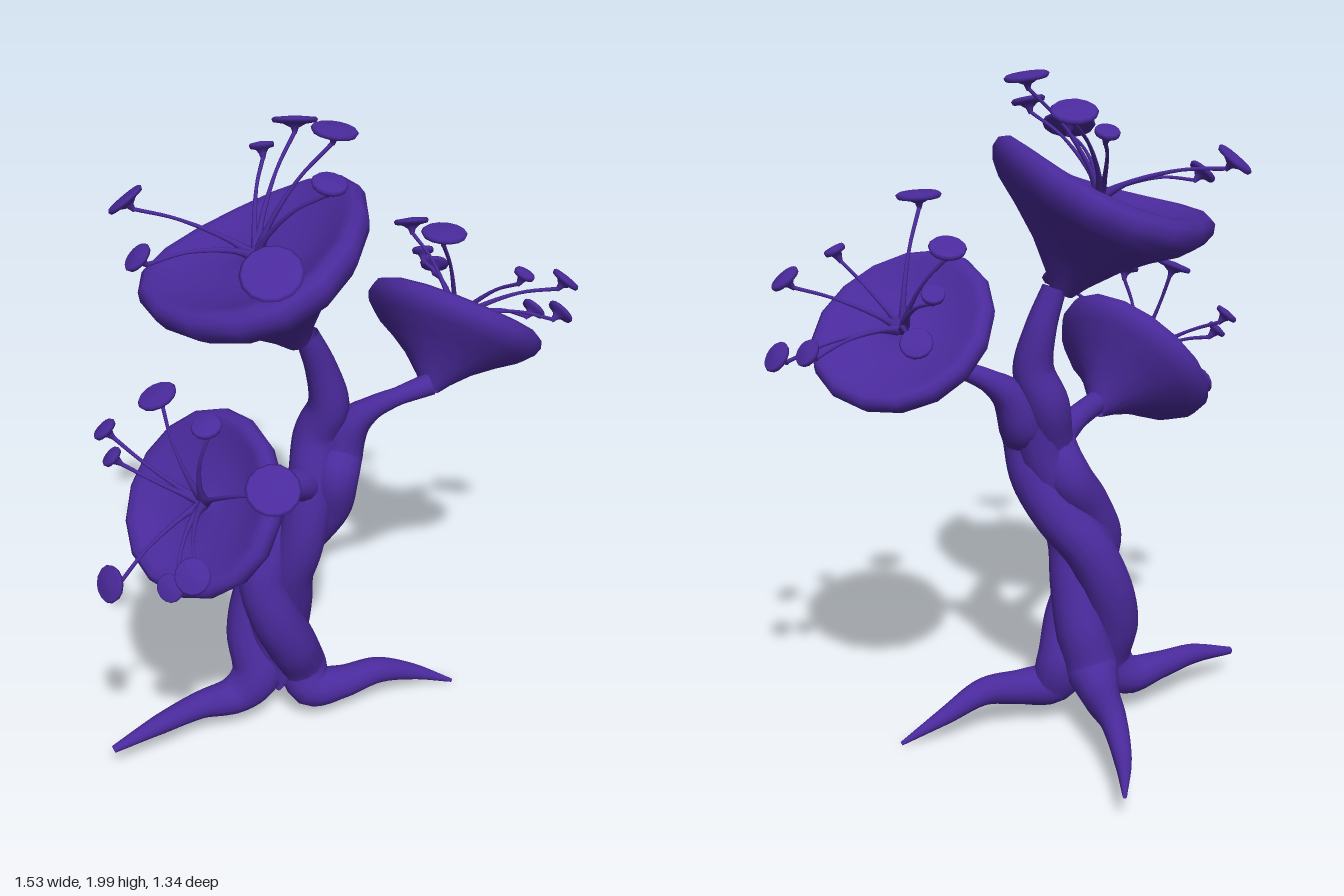
import * as THREE from 'three';

const V = (a) => new THREE.Vector3(a[0], a[1], a[2]);
const UP = new THREE.Vector3(0, 1, 0);
const material = new THREE.MeshStandardMaterial({ color: 0x4a2a9c, side: THREE.DoubleSide });

function addMesh(parent, name, geometry) {
  const mesh = new THREE.Mesh(geometry, material);
  mesh.name = name;
  parent.add(mesh);
  return mesh;
}

// Tube whose radius follows the list of radii, one per path point
function taperedTube(points, radii, steps, sides) {
  const curve = new THREE.CatmullRomCurve3(points);
  const geo = new THREE.TubeGeometry(curve, steps, 1, sides);
  const pos = geo.attributes.position, nor = geo.attributes.normal;
  const n = new THREE.Vector3();
  for (let i = 0; i <= steps; i++) {
    const t = curve.getUtoTmapping(i / steps);
    const f = t * (radii.length - 1), k = Math.min(Math.floor(f), radii.length - 2);
    const r = THREE.MathUtils.lerp(radii[k], radii[k + 1], f - k);
    const centre = curve.getPoint(t);
    for (let j = 0; j <= sides; j++) {
      const id = i * (sides + 1) + j;
      n.fromBufferAttribute(nor, id).multiplyScalar(r).add(centre);
      pos.setXYZ(id, n.x, n.y, n.z);
    }
  }
  return geo;
}

// Trunk centre line: x, y, z
const spine = new THREE.CatmullRomCurve3([
  [-0.2, 0.2, -0.045], [-0.225, 0.38, -0.035], [-0.225, 0.56, -0.04],
  [-0.14, 0.72, -0.035], [-0.06, 0.88, -0.03], [-0.03, 1.04, -0.035],
].map(V));

// Points of one strand winding round the centre line
function twist(startDeg, count) {
  const pts = [];
  for (let i = 0; i < count; i++) {
    const t = i / 7;
    const p = spine.getPoint(t);
    const a = THREE.MathUtils.degToRad(startDeg + 290 * t);
    const off = 0.073 - 0.03 * t;
    pts.push(new THREE.Vector3(p.x + off * Math.cos(a), p.y, p.z + off * Math.sin(a)));
  }
  return pts;
}

// Each strand: root from tip to trunk, start angle, then the branch to a flower
const strands = [
  { name: 'rightRootStrand', angle: 170, count: 7,
    root: [[-0.75, 0.09, 0.11], [-0.6, 0.12, 0.06], [-0.46, 0.125, 0], [-0.34, 0.125, -0.03]],
    rootR: [0.012, 0.032, 0.044, 0.063],
    branch: [[0, 0.98, -0.03], [0.035, 1.065, -0.035], [0.095, 1.115, -0.03], [0.17, 1.15, -0.02], [0.27, 1.18, -0.02]],
    branchR: [0.07, 0.056, 0.035, 0.027, 0.034] },
  { name: 'leftRootStrand', angle: 0, count: 6,
    root: [[0.39, 0.01, -0.08], [0.25, 0.08, -0.07], [0.12, 0.13, -0.04], [0, 0.12, -0.02], [-0.1, 0.125, -0.02]],
    rootR: [0.006, 0.027, 0.043, 0.054, 0.07],
    branch: [[-0.12, 0.905, 0.01], [-0.2, 0.94, 0.085], [-0.31, 0.955, 0.2]],
    branchR: [0.062, 0.037, 0.036] },
  { name: 'backRootStrand', angle: 270, count: 8,
    root: [[-0.12, 0.08, -0.67], [-0.165, 0.105, -0.52], [-0.19, 0.145, -0.36], [-0.2, 0.155, -0.2]],
    rootR: [0.006, 0.026, 0.04, 0.06],
    branch: [[-0.035, 1.14, -0.035], [-0.055, 1.26, -0.035], [-0.1, 1.38, -0.025]],
    branchR: [0.062, 0.048, 0.036] },
];

// Flowers: rim centre, facing, rim radius, saddle of the rim, stalk tips [x, y, z, cap radius]
const flowers = [
  { name: 'topFlower', centre: [-0.245, 1.655, -0.018], facing: [-0.38, 0.92, 0], R: 0.335, depth: 0.32, saddle: 0.03,
    tips: [[-0.57, 1.76, -0.21, 0.06], [-0.57, 1.69, 0.03, 0.045], [-0.28, 1.79, 0.43, 0.083],
      [-0.07, 1.9, 0.15, 0.05], [-0.02, 1.985, -0.01, 0.065], [-0.07, 1.92, -0.3, 0.066], [-0.17, 1.86, -0.28, 0.036]] },
  { name: 'leftFlower', centre: [0.375, 1.325, -0.143], facing: [0.45, 0.75, -0.48], R: 0.265, depth: 0.23, saddle: 0.01,
    tips: [[0.4, 1.36, -0.46, 0.045], [0.28, 1.575, -0.31, 0.052], [0.29, 1.665, 0, 0.065], [0.53, 1.52, 0.01, 0.032],
      [0.68, 1.46, -0.05, 0.046], [0.65, 1.29, -0.22, 0.04], [0.73, 1.28, -0.2, 0.045], [0.33, 1.46, -0.35, 0.033]] },
  { name: 'rightFlower', centre: [-0.465, 1.065, 0.29], facing: [-0.69, 0.57, 0.45], R: 0.262, depth: 0.24, saddle: 0.01,
    tips: [[-0.56, 1.37, 0.22, 0.056], [-0.45, 1.34, 0.36, 0.042], [-0.7, 1.23, 0.12, 0.037], [-0.69, 1.17, 0.17, 0.032],
      [-0.74, 0.93, 0.43, 0.052], [-0.54, 1.06, 0.63, 0.05], [-0.32, 1.27, 0.6, 0.073], [-0.59, 0.97, 0.54, 0.04]] },
];

// Trumpet with a thick rounded lip and a shallow dished mouth
function trumpet({ R, depth, saddle }) {
  const outer = [[0.1, -1], [0.2, -0.86], [0.41, -0.63], [0.66, -0.43], [0.88, -0.28], [0.98, -0.17], [1.02, -0.06]]
    .map(([r, h]) => new THREE.Vector2(r * R, h * depth));
  const inner = [[1, 0.03], [0.94, 0.07], [0.84, 0.06], [0.68, -0.02], [0.45, -0.07], [0.22, -0.08], [0.09, -0.05], [0.001, -0.02]]
    .map(([r, h]) => new THREE.Vector2(r * R, h * R));
  const geo = new THREE.LatheGeometry([...outer, ...inner], 16);
  const p = geo.attributes.position;
  for (let i = 0; i < p.count; i++) {
    const x = p.getX(i), z = p.getZ(i);
    p.setY(i, p.getY(i) + saddle * (x * x - z * z) / (R * R));
  }
  return geo;
}

// Thin cap flaring out of the stalk
function capGeometry(r) {
  return new THREE.LatheGeometry([[0.005, -0.042], [0.011, -0.024], [r * 0.5, -0.013], [r * 0.93, -0.009],
    [r, 0], [r * 0.9, 0.006], [0.001, 0.01]].map(([x, y]) => new THREE.Vector2(x, y)), 14);
}

function makeFlower(spec) {
  const group = new THREE.Group();
  group.name = spec.name;
  const centre = V(spec.centre), n = V(spec.facing).normalize();
  const bell = addMesh(group, 'trumpet', trumpet(spec));
  bell.position.copy(centre);
  bell.quaternion.setFromUnitVectors(UP, n);
  const base = centre.clone().addScaledVector(n, -spec.R * 0.06);

  for (const tip of spec.tips) {
    const end = V(tip);
    const dir = end.clone().sub(base).normalize();
    const face = dir.clone().multiplyScalar(0.55).addScaledVector(n, 0.35).addScaledVector(UP, 0.3).normalize();
    const cap = addMesh(group, 'stalkCap', capGeometry(tip[3]));
    cap.position.copy(end);
    cap.quaternion.setFromUnitVectors(UP, face);
    // Stalk rises from the throat and bends out to its cap
    const neck = end.clone().addScaledVector(face, -0.035);
    const path = [
      base.clone(),
      base.clone().lerp(neck, 0.18).addScaledVector(n, 0.025),
      base.clone().lerp(neck, 0.6).addScaledVector(n, 0.03),
      neck,
    ];
    addMesh(group, 'stalk', taperedTube(path, [0.018, 0.008, 0.005, 0.006], 14, 6));
  }
  return group;
}

export function createModel() {
  const model = new THREE.Group();
  model.name = 'twistedFlowerTree';

  // Twisted trunk: every strand runs from a root tip to a flower
  const trunk = new THREE.Group();
  trunk.name = 'trunk';
  model.add(trunk);
  for (const s of strands) {
    const wind = twist(s.angle, s.count);
    const windR = wind.map((_, i) => 0.082 - 0.002 * i);
    addMesh(trunk, s.name, taperedTube(
      [...s.root.map(V), ...wind, ...s.branch.map(V)],
      [...s.rootR, ...windR, ...s.branchR], 90, 14));
  }
  // Core fills the gaps between the strands
  const core = [0, 0.2, 0.4, 0.6, 0.8, 1].map((t) => spine.getPoint(t));
  core.unshift(new THREE.Vector3(-0.2, 0.1, -0.05));
  addMesh(trunk, 'trunkCore', taperedTube(core, [0.005, 0.07, 0.07, 0.07, 0.07, 0.07, 0.05], 30, 12));

  for (const f of flowers) model.add(makeFlower(f));
  return model;
}
